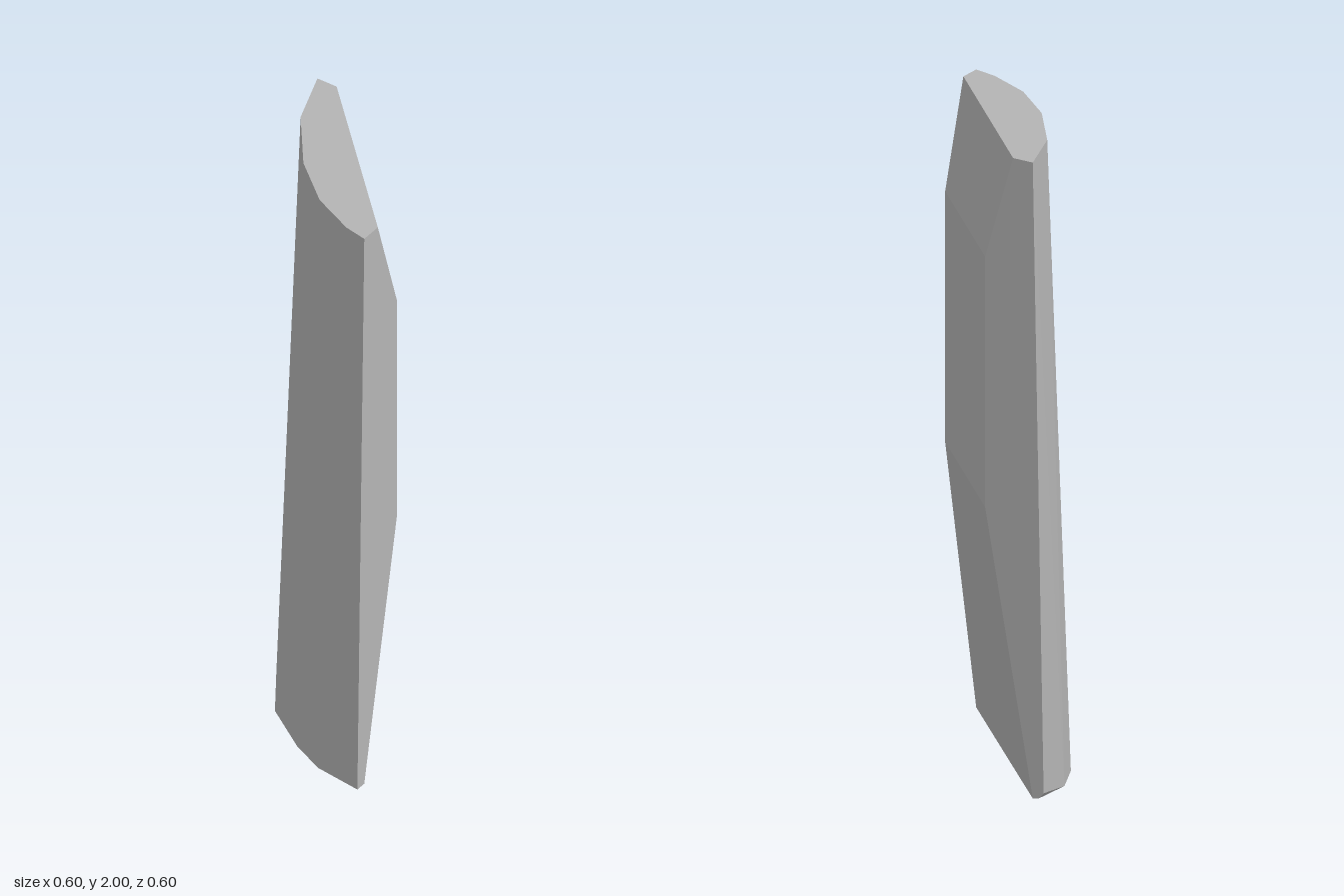
import * as THREE from 'three';
import { ConvexGeometry } from 'three/addons/geometries/ConvexGeometry.js';

// Faceted corner slab: curved back, flat ends and a bevelled inner face.
export function createModel() {
  const model = new THREE.Group();
  model.name = 'cornerSlab';

  const material = new THREE.MeshStandardMaterial({ color: 0xb4b4b4 });
  material.name = 'stone grey';

  const points = [];
  const add = (x, y, z) => points.push(new THREE.Vector3(x, y, z));

  // curved back, top rim
  const topRim = [[-0.265, 0.3], [-0.25, 0.225], [-0.185, 0.083],
    [-0.065, -0.06], [0.115, -0.197], [0.297, -0.265]];
  for (const [x, z] of topRim) add(x, 2, z);

  // curved back, wider bottom rim
  const bottomRim = [[-0.3, 0.3], [-0.28, 0.145], [-0.23, 0.035],
    [-0.125, -0.12], [0.028, -0.223], [0.145, -0.277]];
  for (const [x, z] of bottomRim) add(x, 0, z);

  // inner face: height, and offset of its two side edges
  for (const [y, d] of [[2, -0.196], [1.67, -0.098], [0.885, -0.098]]) {
    add(d, y, 0.3);
    add(0.297, y, d);
  }
  add(-0.265, 0, 0.3);

  // chipped bottom corner
  add(0.11, 0, -0.08);
  add(0.297, 0.006, -0.265);
  add(0.297, 0.01, -0.285);
  add(0.297, 0.03, -0.303);

  const slab = new THREE.Mesh(new ConvexGeometry(points), material);
  slab.name = 'slab';
  model.add(slab);
  return model;
}
